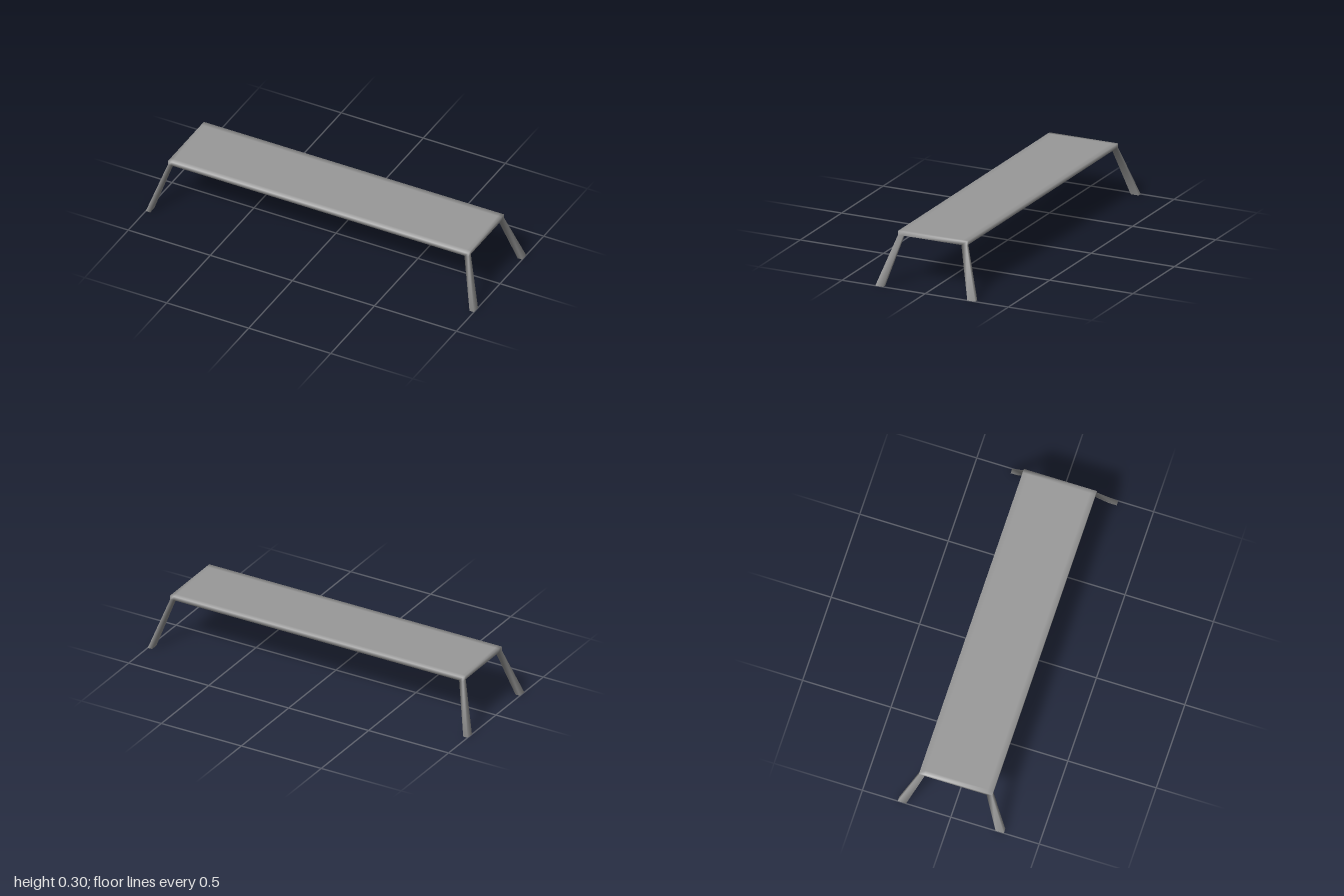
import * as THREE from 'three';

// Lattice lines: each outer cell in x and z is the root of a leg
const X = [-0.915, -0.892, 0.892, 0.915];
const Z = [-0.206, -0.175, 0.175, 0.206];
const FOOT_X = [-1, -0.973, 0.973, 1];
const FOOT_Z = [-0.3, -0.253, 0.253, 0.3];
// Layers: top surface, underside, feet
const LAYERS = [[0.3, X, Z], [0.277, X, Z], [0, FOOT_X, FOOT_Z]];

const id = (layer, i, j) => layer * 16 + i * 4 + j;
const quad = (a, b, c, d) => [a, b, c, a, c, d];

// Corners of one lattice cell, counter-clockwise from above
const cell = (layer, i, j) => [id(layer, i, j), id(layer, i, j + 1), id(layer, i + 1, j + 1), id(layer, i + 1, j)];
const facingUp = (c) => quad(...c);
const facingDown = (c) => quad(...[...c].reverse());

// Wall hanging from a closed ring of points down to the next layer
const wall = (ring) => ring.flatMap((p, k) => {
  const q = ring[(k + 1) % ring.length];
  return quad(p + 16, q + 16, q, p);
});

export function createModel() {
  const group = new THREE.Group();
  const grey = new THREE.MeshStandardMaterial({ color: 0x999999 });
  grey.name = 'grey';

  const points = LAYERS.flatMap(([y, xs, zs]) => xs.flatMap((x) => zs.flatMap((z) => [x, y, z])));

  // Table top: upper and lower faces plus the rim
  const top = [];
  const legs = [];
  for (let i = 0; i < 3; i++) {
    for (let j = 0; j < 3; j++) {
      top.push(...facingUp(cell(0, i, j)));
      const corner = i !== 1 && j !== 1;
      if (!corner) {
        top.push(...facingDown(cell(1, i, j)));
        continue;
      }
      // Splayed leg: four walls and a sole
      legs.push({
        name: (j ? 'front' : 'back') + (i ? 'Left' : 'Right') + 'Leg',
        index: [...wall(cell(1, i, j)), ...facingDown(cell(2, i, j))],
      });
    }
  }
  const rim = [];
  for (let k = 0; k < 3; k++) rim.push(id(0, 0, k));
  for (let k = 0; k < 3; k++) rim.push(id(0, k, 3));
  for (let k = 3; k > 0; k--) rim.push(id(0, 3, k));
  for (let k = 3; k > 0; k--) rim.push(id(0, k, 0));
  top.push(...wall(rim));

  // Normals are smoothed over the joined skin, then shared by every part
  const skin = new THREE.BufferGeometry();
  skin.setAttribute('position', new THREE.Float32BufferAttribute(points, 3));
  skin.setIndex([...top, ...legs.flatMap((leg) => leg.index)]);
  skin.computeVertexNormals();

  for (const part of [{ name: 'tableTop', index: top }, ...legs]) {
    const geometry = skin.clone();
    geometry.setIndex(part.index);
    const mesh = new THREE.Mesh(geometry, grey);
    mesh.name = part.name;
    group.add(mesh);
  }
  return group;
}
